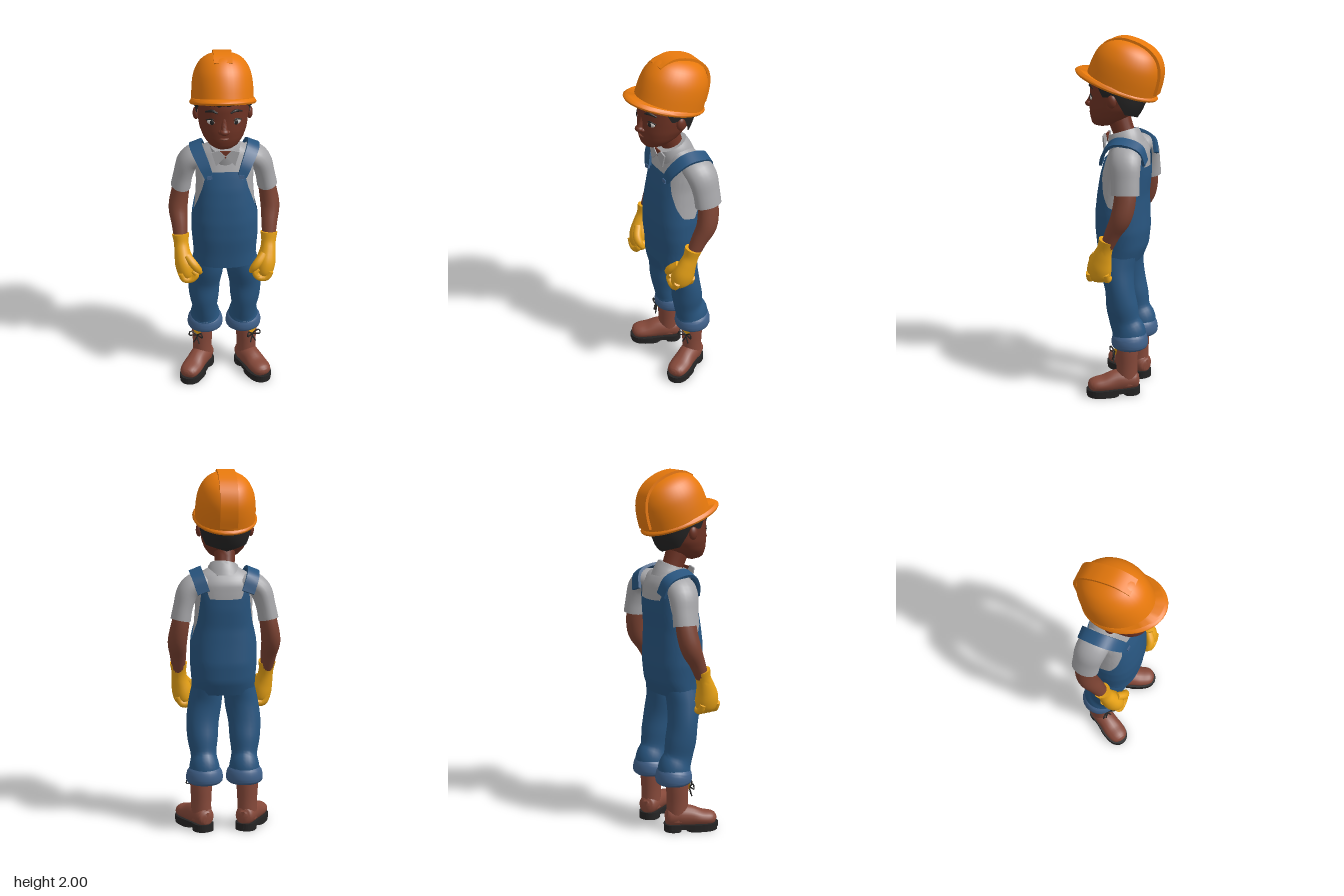
import * as THREE from 'three';
import { toCreasedNormals } from 'three/addons/utils/BufferGeometryUtils.js';

const mat = (name, color) => Object.assign(new THREE.MeshStandardMaterial({ color, side: THREE.DoubleSide }), { name });
const V = (x, y, z) => new THREE.Vector3(x, y, z);

// Linear look-up in rows of [key, ...values]
function lookup(rows, k) {
  let i = 0;
  while (i < rows.length - 2 && k > rows[i + 1][0]) i++;
  const a = rows[i], b = rows[i + 1];
  const t = THREE.MathUtils.clamp((k - a[0]) / (b[0] - a[0]), 0, 1);
  return a.slice(1).map((v, j) => v + (b[j + 1] - v) * t);
}

// Surface over a grid of rows and columns; caps are fans on the end rings
function gridGeometry(rows, caps) {
  const n = rows[0].length, pos = [], idx = [];
  rows.forEach(r => r.forEach(p => pos.push(p.x, p.y, p.z)));
  for (let i = 0; i < rows.length - 1; i++) for (let j = 0; j < n - 1; j++) {
    const a = i * n + j, c = a + n;
    idx.push(a, a + 1, c, a + 1, c + 1, c);
  }
  if (caps) caps.forEach((c, e) => {
    const k = pos.length / 3, s = e ? (rows.length - 1) * n : 0;
    pos.push(c.x, c.y, c.z);
    for (let j = 0; j < n - 1; j++) e ? idx.push(k, s + j, s + j + 1) : idx.push(k, s + j + 1, s + j);
  });
  const g = new THREE.BufferGeometry();
  g.setAttribute('position', new THREE.Float32BufferAttribute(pos, 3));
  g.setIndex(idx);
  return toCreasedNormals(g, 0.75);
}

// Swept form through points [x, y, z, radius across, radius along ref]; 4 sides give a flat band
function limb(pts, seg = 20, ref = V(0, 0, 1)) {
  const path = new THREE.CatmullRomCurve3(pts.map(p => V(p[0], p[1], p[2])), false, 'catmullrom');
  const size = new THREE.CatmullRomCurve3(pts.map(p => V(p[3], p[4] ?? p[3], 0)), false, 'catmullrom');
  const steps = (pts.length - 1) * 4, rows = [], k = seg === 4 ? Math.SQRT2 : 1, ph = seg === 4 ? Math.PI / 4 : 0;
  for (let i = 0; i <= steps; i++) {
    const c = path.getPoint(i / steps), r = size.getPoint(i / steps), t = path.getTangent(i / steps);
    const a = ref.clone().addScaledVector(t, -ref.dot(t)).normalize(), b = t.clone().cross(a);
    rows.push(Array.from({ length: seg + 1 }, (_, j) => {
      const q = j / seg * Math.PI * 2 + ph;
      return c.clone().addScaledVector(a, Math.cos(q) * r.y * k).addScaledVector(b, Math.sin(q) * r.x * k);
    }));
  }
  return gridGeometry(rows, [path.getPoint(0), path.getPoint(1)]);
}

// Shell around upright sections [y, cz, rx, rz], with bottom and top edges varying by angle from the front
function shell(sections, cx, off, bottom, top, pow = 1, n = 96, steps = 28) {
  const rows = [];
  for (let i = 0; i <= steps; i++) rows.push(Array.from({ length: n + 1 }, (_, j) => {
    const q = (j / n * 2 - 1) * Math.PI, s = Math.sin(q), c = Math.cos(q);
    const y = THREE.MathUtils.lerp(bottom(Math.abs(q)), top(Math.abs(q)), i / steps);
    const [cz, rx, rz] = lookup(sections, y);
    return V(cx + (rx + off) * Math.sign(s) * Math.abs(s) ** pow, y, cz + (rz + off) * Math.sign(c) * Math.abs(c) ** pow);
  }));
  return gridGeometry(rows);
}

// Flat plate from an outline in x and y
function plate(pts, depth) {
  return new THREE.ExtrudeGeometry(new THREE.Shape(pts.map(p => new THREE.Vector2(p[0], p[1]))), { depth, bevelEnabled: false });
}

export function createModel() {
  const orange = mat('helmet orange', 0xe8790c), face = mat('face skin', 0x6e3324), arm = mat('arm skin', 0x7a4232),
    grey = mat('shirt grey', 0xa6a6a9), denim = mat('denim blue', 0x28557f), cuff = mat('cuff blue', 0x40618a),
    yellow = mat('glove yellow', 0xe9a317), black = mat('hair and sole black', 0x252424),
    brown = mat('boot brown', 0x86493a), white = mat('eye white', 0xcfc8c4);
  const model = new THREE.Group();
  const add = (name, geo, material, parent = model) => {
    const m = new THREE.Mesh(geo, material);
    m.name = name;
    parent.add(m);
    return m;
  };
  const ball = (name, material, p, s) => {
    const m = add(name, new THREE.SphereGeometry(1, 20, 14), material);
    m.position.set(...p);
    m.scale.set(...s);
    return m;
  };

  // Torso: shirt with overalls over it
  const torso = [[0.76, -0.02, 0.17, 0.115], [0.85, -0.035, 0.175, 0.135], [0.95, -0.035, 0.183, 0.145],
    [1.05, -0.033, 0.182, 0.143], [1.15, -0.037, 0.172, 0.137], [1.25, -0.05, 0.165, 0.134], [1.32, -0.06, 0.168, 0.125],
    [1.39, -0.07, 0.165, 0.112], [1.44, -0.065, 0.15, 0.09], [1.48, -0.05, 0.08, 0.06]];
  const bibEdge = [[0, 1.35], [0.58, 1.345], [0.65, 1.31], [0.8, 1.25], [1.05, 1.17], [1.35, 1.1], [1.75, 1.08], [2.1, 1.18],
    [2.35, 1.37], [2.52, 1.38], [2.66, 1.315], [3.15, 1.31]];
  add('shirt body', shell(torso, 0, -0.008, () => 1.0, () => 1.48, 0.85), grey);
  add('overalls body', shell(torso, 0, 0.002, () => 0.775, a => lookup(bibEdge, a)[0], 0.85), denim);
  ball('overalls seat', denim, [0, 0.82, -0.025], [0.155, 0.05, 0.115]);

  // Neck and collar
  add('neck', limb([[-0.005, 1.42, -0.06, 0.055, 0.06], [-0.008, 1.5, -0.03, 0.056, 0.06], [-0.012, 1.58, 0, 0.06, 0.065]]), face);
  add('collar', limb([[0, 1.41, -0.058, 0.105, 0.1], [0, 1.45, -0.045, 0.092, 0.095], [-0.005, 1.488, -0.032, 0.076, 0.086]], 28), grey);
  add('open neck', plate([[-0.035, 1.475], [0, 1.43], [0.03, 1.475]], 0.006), face).position.z = 0.054;

  for (const s of [1, -1]) {
    const side = s > 0 ? 'left' : 'right';
    const part = (name, pts, material, seg, ref) =>
      add(side + name, limb(pts.map(([x, ...r]) => [s * x, ...r]), seg, ref), material);

    add(side + 'CollarFlap', plate([[0, 1.445], [s * 0.035, 1.48], [s * 0.075, 1.47], [s * 0.052, 1.39]], 0.008), grey).position.z = 0.056;

    // Shoulder strap and its fastening
    part('Strap', [[0.09, 1.325, 0.064, 0.007, 0.024], [0.115, 1.385, 0.045, 0.008, 0.03], [0.148, 1.45, -0.01, 0.008, 0.034],
      [0.158, 1.463, -0.08, 0.008, 0.034], [0.147, 1.43, -0.165, 0.008, 0.034], [0.12, 1.35, -0.19, 0.008, 0.034]],
    denim, 4, V(1, -0.4 * s, 0));
    part('StrapFastener', [[0.085, 1.315, 0.071, 0.006, 0.014], [0.088, 1.335, 0.069, 0.006, 0.014]], cuff, 4, V(1, 0, 0));

    // Sleeve and arm
    part('Sleeve', [[0.09, 1.385, -0.08, 0.05, 0.07], [0.15, 1.39, -0.09, 0.062, 0.085], [0.2, 1.35, -0.1, 0.06, 0.085],
      [0.226, 1.27, -0.108, 0.054, 0.078], [0.241, 1.195, -0.112, 0.056, 0.077]], grey);
    part('Arm', [[0.225, 1.26, -0.11, 0.044, 0.058], [0.245, 1.16, -0.11, 0.05, 0.06], [0.258, 1.07, -0.092, 0.053, 0.057],
      [0.252, 0.99, -0.05, 0.045, 0.045], [0.247, 0.9, -0.01, 0.036, 0.036]], arm);

    // Glove with curled fingers
    part('Glove', [[0.248, 0.94, -0.015, 0.048, 0.048], [0.245, 0.89, 0, 0.041, 0.043], [0.24, 0.84, 0.018, 0.045, 0.053],
      [0.228, 0.78, 0.036, 0.055, 0.067], [0.218, 0.725, 0.042, 0.05, 0.064], [0.212, 0.695, 0.042, 0.03, 0.04]], yellow);
    part('Thumb', [[0.215, 0.84, 0.06, 0.022], [0.18, 0.8, 0.088, 0.024], [0.155, 0.765, 0.088, 0.021], [0.142, 0.735, 0.074, 0.012]], yellow, 12);
    for (let f = 0; f < 4; f++) {
      const z = 0.09 - f * 0.032;
      part('Finger' + (f + 1), [[0.252, 0.745, z, 0.018], [0.23, 0.706, z, 0.02], [0.19, 0.705, z, 0.02],
        [0.166, 0.735, z, 0.018], [0.185, 0.757, z, 0.012]], yellow, 10);
    }

    // Trouser leg and turned-up cuff
    part('Leg', [[0.088, 0.83, -0.03, 0.082, 0.11], [0.1, 0.73, -0.028, 0.093, 0.096], [0.117, 0.62, -0.047, 0.091, 0.081],
      [0.118, 0.52, -0.06, 0.085, 0.088], [0.114, 0.43, -0.075, 0.072, 0.086], [0.112, 0.37, -0.098, 0.084, 0.095],
      [0.112, 0.32, -0.103, 0.088, 0.092]], denim, 24);
    part('TrouserCuff', [[0.112, 0.365, -0.1, 0.08, 0.085], [0.112, 0.345, -0.102, 0.096, 0.097], [0.112, 0.315, -0.104, 0.103, 0.103],
      [0.112, 0.288, -0.104, 0.1, 0.1], [0.112, 0.275, -0.104, 0.085, 0.085]], cuff, 24);

    // Boot, turned outward
    const boot = new THREE.Group();
    boot.name = side + 'Boot';
    boot.position.set(s * 0.13, 0, -0.092);
    boot.rotation.y = s * 0.48;
    model.add(boot);
    add('bootShaft', limb([[0, 0.33, 0, 0.062, 0.064], [0, 0.25, 0, 0.06, 0.063], [0, 0.16, 0, 0.055, 0.06], [0, 0.06, 0, 0.056, 0.062]]), brown, boot);
    add('bootFoot', limb([[0, 0.08, -0.068, 0.025, 0.03], [0, 0.08, -0.05, 0.05, 0.052], [0, 0.085, 0.01, 0.058, 0.062],
      [0, 0.08, 0.07, 0.057, 0.06], [0, 0.07, 0.13, 0.061, 0.045], [0, 0.065, 0.18, 0.056, 0.04], [0, 0.06, 0.208, 0.04, 0.03],
      [0, 0.057, 0.22, 0.012, 0.01]], 20, V(0, 1, 0)), brown, boot);
    const pad = (name, outline, y, h) => {
      const half = outline.map(([x, z]) => V(x, -z, 0));
      const loop = [...half, ...half.slice().reverse().map(p => V(-p.x, p.y, 0))];
      const pts = new THREE.CatmullRomCurve3(loop, true).getPoints(40).map(p => [p.x, p.y]);
      const m = add(name, plate(pts, h), black, boot);
      m.rotation.x = -Math.PI / 2;
      m.position.y = y;
    };
    pad('sole', [[0.025, -0.072], [0.054, -0.045], [0.056, 0.03], [0.066, 0.13], [0.055, 0.195], [0.02, 0.228]], 0.016, 0.026);
    pad('heel', [[0.025, -0.072], [0.054, -0.045], [0.054, 0.005], [0.03, 0.02]], 0, 0.018);
    pad('forefoot', [[0.03, 0.05], [0.057, 0.07], [0.064, 0.13], [0.052, 0.195], [0.02, 0.224]], 0, 0.018);
    add('bootTongue', plate([[-0.035, 0.295], [0, 0.235], [0.035, 0.295]], 0.008), yellow, boot).position.z = 0.06;
    for (const k of [1, -1]) {
      const lace = [V(0, 0.25, 0.066), V(k * 0.035, 0.275, 0.085), V(k * 0.042, 0.25, 0.088), V(0, 0.248, 0.07), V(k * 0.018, 0.2, 0.08)];
      add('lace', new THREE.TubeGeometry(new THREE.CatmullRomCurve3(lace), 24, 0.004, 5), black, boot);
    }
  }

  // Head
  const cx = -0.012;
  const head = [[1.508, 0.09, 0.004, 0.004], [1.515, 0.088, 0.04, 0.04], [1.535, 0.07, 0.078, 0.073], [1.57, 0.045, 0.107, 0.107],
    [1.62, 0.02, 0.127, 0.135], [1.68, 0.005, 0.135, 0.147], [1.75, 0, 0.137, 0.152], [1.82, 0, 0.13, 0.14], [1.88, 0, 0.1, 0.1]];
  add('head', shell(head, cx, 0, () => 1.508, () => 1.88, 0.95, 48), face);
  ball('noseTip', face, [cx, 1.632, 0.163], [0.025, 0.018, 0.023]);
  add('noseBridge', limb([[cx, 1.7, 0.14, 0.012], [cx, 1.665, 0.15, 0.015], [cx, 1.635, 0.163, 0.018]], 12), face);
  add('mouth', limb([[cx - 0.034, 1.588, 0.143, 0.003], [cx, 1.586, 0.154, 0.007], [cx + 0.034, 1.588, 0.143, 0.003]], 10), arm);
  for (const s of [1, -1]) {
    ball('ear', face, [cx + s * 0.142, 1.675, -0.005], [0.018, 0.036, 0.026]);
    ball('nostril', face, [cx + s * 0.02, 1.628, 0.153], [0.012, 0.011, 0.014]);
    ball('eye', white, [cx + s * 0.064, 1.678, 0.128], [0.026, 0.016, 0.012]).rotation.y = s * 0.4;
    ball('iris', black, [cx + s * 0.063, 1.678, 0.137], [0.012, 0.014, 0.006]).rotation.y = s * 0.4;
    add('upperLid', limb([[cx + s * 0.036, 1.684, 0.141, 0.003], [cx + s * 0.064, 1.696, 0.136, 0.004], [cx + s * 0.093, 1.685, 0.117, 0.003]], 8), black);
    add('eyebrow', limb([[cx + s * 0.034, 1.733, 0.148, 0.005], [cx + s * 0.062, 1.743, 0.138, 0.008], [cx + s * 0.096, 1.73, 0.112, 0.004]], 8), black);
  }

  // Hair with small curls under the helmet
  const hair = [[1.56, -0.02, 0.095, 0.085], [1.6, -0.012, 0.125, 0.12], [1.65, 0, 0.14, 0.155], [1.72, 0, 0.148, 0.165], [1.82, 0, 0.145, 0.155]];
  const hairline = [[0, 1.785], [1.0, 1.775], [1.3, 1.69], [1.45, 1.7], [1.75, 1.69], [2.05, 1.6], [3.15, 1.565]];
  add('hair', shell(hair, cx, 0, a => lookup(hairline, a)[0], () => 1.82, 1, 64, 12), black);
  for (let i = -8; i <= 8; i++) {
    const q = i * 0.17, drop = Math.max(0, Math.abs(q) - 0.75) * 0.07;
    const r = 0.014 + 0.004 * (i & 1);
    ball('curl', black, [cx + 0.146 * Math.sin(q), 1.785 - drop, 0.147 * Math.cos(q)], [r, r, r]);
  }

  // Hard hat, tipped back
  const hat = new THREE.Group();
  hat.name = 'hardHat';
  hat.position.set(cx, 1.745, -0.02);
  hat.rotation.x = -0.33;
  model.add(hat);
  const dome = [[1, -0.005], [0.98, 0.08], [0.91, 0.145], [0.74, 0.2], [0.5, 0.232], [0.25, 0.245], [0.005, 0.249]];
  add('hatDome', limb(dome.map(([r, y]) => [0, y, 0, 0.166 * r, 0.2 * r]), 40), orange, hat);
  add('hatBrim', limb([[0, -0.02, 0.027, 0.172, 0.232], [0, -0.008, 0.027, 0.177, 0.24], [0, 0.008, 0.027, 0.166, 0.222]], 48), orange, hat);
  const ridge = [[-0.2, 0.02], [-0.197, 0.08], [-0.184, 0.145], [-0.15, 0.2], [-0.1, 0.233], [-0.05, 0.246], [0, 0.25], [0.06, 0.244], [0.105, 0.224], [0.15, 0.19]];
  add('hatRidge', limb(ridge.map(([z, y], i) => [0, y, z, i > 8 ? 0.004 : 0.008, 0.048]), 4, V(1, 0, 0)), orange, hat);
  return model;
}
